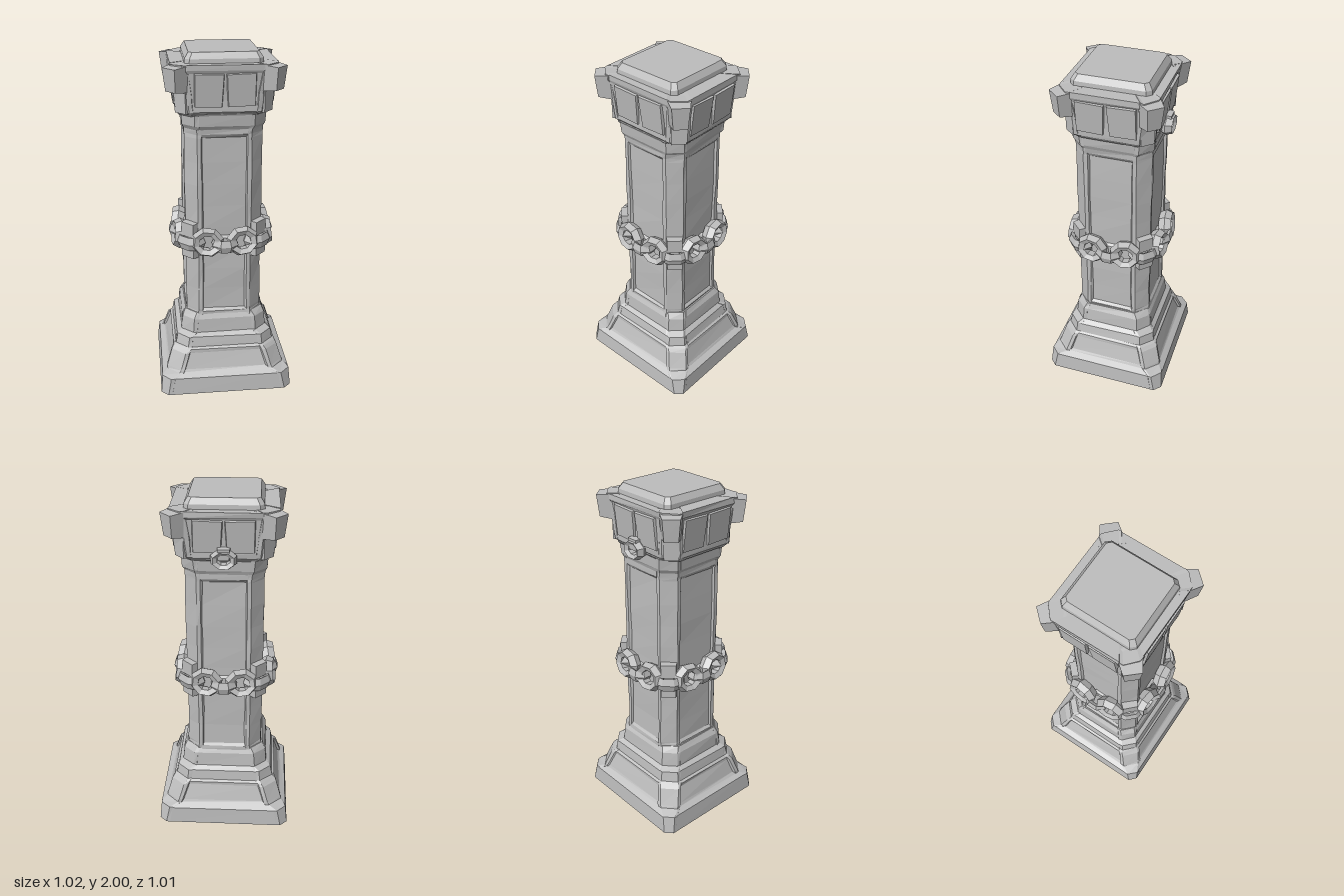
import * as THREE from 'three';

const stone = new THREE.MeshStandardMaterial({ color: 0xbdbdbd });

// Small seeded random for worn stone edges
let seed = 7;
const rnd = () => ((seed = (seed * 16807) % 2147483647) / 2147483647) - 0.5;

// Chamfered section; each side may have a recessed middle panel
function section([y, h, c, d = 0], wear, sx, sz) {
  const e = h - c, p = e - 0.022, q = p - d * 0.6;
  const side = [[h, -e], [h, -p], [h - d, -q], [h - d, q], [h, p], [h, e]];
  const pts = [];
  for (let k = 0; k < 4; k++) {
    const cs = Math.round(Math.cos(k * Math.PI / 2)), sn = Math.round(Math.sin(k * Math.PI / 2));
    for (const [a, b] of side) {
      const w = y > 0.01 ? wear : 0;
      pts.push([(a * cs - b * sn) * sx + rnd() * w, y + rnd() * w, (a * sn + b * cs) * sz + rnd() * w]);
    }
  }
  return pts;
}

// Stack sections into a closed, faceted solid; sx and sz make the plan oblong
function loft(name, profile, wear, sx = 1, sz = 1) {
  const rings = profile.map((r) => section(r, wear, sx, sz));
  const n = rings[0].length, pos = [];
  const tri = (a, b, c) => pos.push(...a, ...b, ...c);
  for (let k = 0; k < rings.length - 1; k++) {
    for (let i = 0; i < n; i++) {
      const j = (i + 1) % n, lo = rings[k], hi = rings[k + 1];
      tri(lo[i], hi[i], lo[j]);
      tri(lo[j], hi[i], hi[j]);
    }
  }
  const first = rings[0], last = rings[rings.length - 1];
  const bottom = [0, profile[0][0], 0], top = [0, profile[profile.length - 1][0], 0];
  for (let i = 0; i < n; i++) {
    const j = (i + 1) % n;
    tri(bottom, first[i], first[j]);
    tri(top, last[j], last[i]);
  }
  const g = new THREE.BufferGeometry();
  g.setAttribute('position', new THREE.Float32BufferAttribute(pos, 3));
  g.computeVertexNormals();
  return named(name, g);
}

function named(name, g) {
  const m = new THREE.Mesh(g, stone);
  m.name = name;
  return m;
}

// Box whose bottom and front are drawn in, like a rough cut block
function block(name, w, h, d, bottom, front) {
  const g = new THREE.BoxGeometry(w, h, d).toNonIndexed(), p = g.attributes.position;
  for (let i = 0; i < p.count; i++) {
    const s = p.getY(i) < 0 ? bottom : 1;
    const f = p.getZ(i) > 0 ? front : 1;
    p.setX(i, p.getX(i) * s * f);
    p.setZ(i, p.getZ(i) > 0 ? p.getZ(i) * s : p.getZ(i));
    if (p.getZ(i) > 0) p.setY(i, p.getY(i) * (0.5 + front / 2));
  }
  g.computeVertexNormals();
  return named(name, g);
}

// Chunky faceted chain link lying in the xy plane
function link(name, w, h, t) {
  const g = new THREE.TorusGeometry(1, 0.4, 5, 8).toNonIndexed();
  g.rotateZ(Math.PI / 8);
  g.scale(w / 2.6, h / 2.6, t / 0.76);
  g.computeVertexNormals();
  return named(name, g);
}

function group(name, angle) {
  const g = new THREE.Group();
  g.name = name;
  g.rotation.y = angle;
  return g;
}

export function createModel() {
  seed = 7;
  const model = group('stonePillar', -0.593);

  // Stepped plinth, hollow underneath
  model.add(loft('plinth', [
    [0.24, 0.27, 0.06], [0.13, 0.31, 0.06], [0.11, 0.345, 0.06], [0, 0.358, 0.045],
    [0, 0.381, 0.04], [0.105, 0.371, 0.05], [0.125, 0.342, 0.07, 0.004], [0.14, 0.34, 0.075, 0.012],
    [0.235, 0.31, 0.075, 0.012], [0.255, 0.298, 0.075], [0.265, 0.284, 0.07],
    [0.325, 0.274, 0.065], [0.345, 0.247, 0.065], [0.43, 0.24, 0.065], [0.465, 0.222, 0.065],
  ], 0.005, 1.028, 0.972));

  // Shaft with sunken panels between corner posts
  const shaft = [[0.45, 0.222, 0.068], [0.475, 0.22, 0.068], [0.49, 0.22, 0.068, 0.013]];
  for (let y = 0.62; y < 1.5; y += 0.13) shaft.push([y, 0.218, 0.068, 0.013]);
  shaft.push([1.54, 0.217, 0.068, 0.013], [1.56, 0.217, 0.068], [1.59, 0.219, 0.068],
    [1.61, 0.229, 0.068], [1.67, 0.233, 0.068], [1.68, 0.24, 0.07]);
  model.add(loft('shaft', shaft, 0.005));

  // Flared capital and top slab
  model.add(loft('capital', [
    [1.665, 0.23, 0.065], [1.69, 0.25, 0.065], [1.72, 0.253, 0.065, 0.002], [1.79, 0.258, 0.065, 0.005],
    [1.9, 0.27, 0.06, 0.004], [1.915, 0.275, 0.06], [1.945, 0.275, 0.06],
  ], 0.005, 1.05, 0.955));
  model.add(loft('topSlab', [
    [1.93, 0.215, 0.025], [1.968, 0.212, 0.025], [2, 0.191, 0.02],
  ], 0, 0.985, 1.015));

  for (let k = 0; k < 4; k++) {
    // Parts on each face; the capital is deeper along x than along z
    const face = group('faceDetails', k * Math.PI / 2);
    const out = k % 2 ? 0.269 : 0.245;
    for (const s of [-1, 1]) {
      const slab = block('capitalStone', 0.168, 0.185, 0.026, 0.94, 0.9);
      slab.position.set(s * 0.087, 1.81, out);
      slab.rotation.set(0.1, 0, s * 0.03);
      face.add(slab);
      const flat = link('flatLink', 0.18, 0.165, 0.075);
      flat.position.set(s * 0.1, 0.94, 0.25);
      flat.rotation.set(-0.12, s * 0.1, s * 0.12);
      face.add(flat);
    }
    const cross = link('crossLink', 0.15, 0.12, 0.075);
    cross.position.set(0, 0.925, 0.248);
    cross.rotation.x = Math.PI / 2;
    face.add(cross);

    // Capital corner stones, turned to meet the oblong corners
    const horns = group('capitalCorner', Math.floor(k / 2) * Math.PI + (k % 2 ? -0.84 : 0.84));
    const horn = block('capitalCornerBlock', 0.14, 0.15, 0.13, 0.8, 0.66);
    horn.position.set(0, 1.87, 0.336);
    const foot = block('capitalCornerFoot', 0.09, 0.12, 0.06, 0.95, 0.9);
    foot.position.set(0, 1.74, 0.29);
    horns.add(horn, foot);

    // Clamps and bent link holding the chain to each shaft corner
    const corner = group('chainCorner', (k + 0.5) * Math.PI / 2);
    const upper = block('upperClamp', 0.105, 0.09, 0.09, 1, 0.82);
    upper.position.set(0, 1.003, 0.254);
    const lower = block('lowerClamp', 0.105, 0.08, 0.09, 1, 0.82);
    lower.position.set(0, 0.87, 0.254);
    const bend = link('cornerLink', 0.18, 0.13, 0.08);
    bend.position.set(0, 0.93, 0.27);
    bend.rotation.x = Math.PI / 2;
    corner.add(upper, lower, bend);
    model.add(face, horns, corner);
  }

  // Single hanging ring on the back face
  const boss = block('ringMount', 0.08, 0.07, 0.07, 0.9, 0.8);
  boss.position.set(0, 1.72, -0.245);
  boss.rotation.y = Math.PI;
  const ring = link('ring', 0.14, 0.11, 0.07);
  ring.position.set(0, 1.69, -0.255);
  model.add(boss, ring);

  const root = group('pillar', 0);
  root.add(model);
  return root;
}
